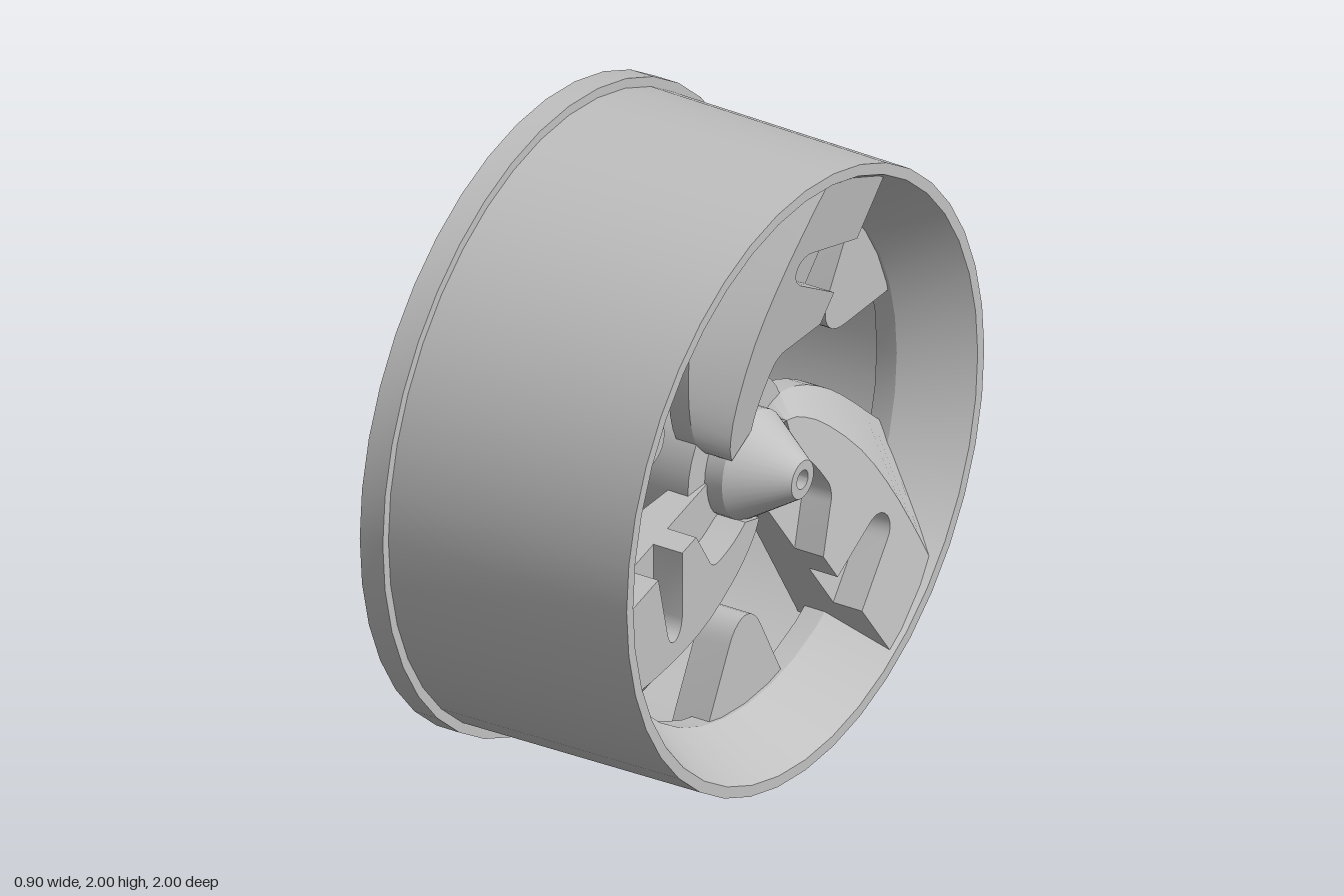
import * as THREE from 'three';
import { toCreasedNormals } from 'three/addons/utils/BufferGeometryUtils.js';

const metal = new THREE.MeshStandardMaterial({ color: 0xc0c0c0 });
metal.name = 'grey metal';

function part(name, geometry, crease = 0.4) {
  const mesh = new THREE.Mesh(toCreasedNormals(geometry, crease), metal);
  mesh.name = name;
  return mesh;
}

// Revolve [radius, depth] points about the axle (z while building)
function turned(name, points, segments) {
  const g = new THREE.LatheGeometry(points.map(p => new THREE.Vector2(...p)), segments);
  return part(name, g.rotateX(Math.PI / 2), 0.25);
}

// Spoke outline curves, [outward, sideways], sampled from hub to rim
const STEPS = 14;
const sample = points =>
  new THREE.SplineCurve(points.map(p => new THREE.Vector2(...p))).getPoints(STEPS).map(p => [p.x, p.y]);
const straightEdge = sample([[0.05, 0], [0.49, -0.01], [0.925, -0.02]]);
const ridge = sample([[0, -0.17], [0.04, -0.215], [0.15, -0.275], [0.35, -0.33], [0.55, -0.342], [0.75, -0.33], [0.875, -0.315]]);
const outerEdge = sample([[0, -0.19], [0.025, -0.27], [0.11, -0.355], [0.25, -0.438], [0.4, -0.497], [0.5, -0.53], [0.64, -0.58]]);
const faceDepth = u => 0.29 + 0.16 * u;
const floorDepth = u => faceDepth(u) - 0.1;
const BACK = 0.14, FLANK = 0.21;

// Spoke body: cross-sections lofted from hub to rim, with a sloping flank
function spokeBody() {
  const pos = [], idx = [], n = 6;
  straightEdge.forEach((a, i) => {
    const r = ridge[i], o = outerEdge[i];
    const section = [
      [a[0], a[1], BACK], [a[0], a[1], floorDepth(a[0])],
      [r[0], r[1] + 0.02, floorDepth(r[0])], [r[0], r[1], faceDepth(r[0])],
      [o[0], o[1], FLANK], [o[0], o[1], BACK],
    ];
    for (const [u, v, d] of section) pos.push(-u, v, d);
  });
  for (let i = 0; i < STEPS; i++) {
    for (let j = 0; j < n; j++) {
      const a = i * n + j, b = i * n + (j + 1) % n;
      idx.push(a, a + n, b + n, a, b + n, b);
    }
  }
  for (let j = 1; j < n - 1; j++) idx.push(0, j, j + 1);
  const g = new THREE.BufferGeometry();
  g.setAttribute('position', new THREE.Float32BufferAttribute(pos, 3));
  g.setIndex(idx);
  return part('spokeBody', g);
}

// Raised spoke face with a U slot and a scooped inner end, tilted towards the rim
function spokeFace() {
  const s = new THREE.Shape();
  s.moveTo(-0.45, -0.009);
  s.lineTo(-0.55, -0.011);
  s.lineTo(-0.55, -0.225);
  s.bezierCurveTo(-0.56, -0.295, -0.64, -0.295, -0.655, -0.225);
  s.lineTo(-0.72, -0.015);
  s.lineTo(-0.925, -0.02);
  for (const [u, v] of [...ridge].reverse()) s.lineTo(-u, v);
  s.lineTo(-0.1, -0.135);
  s.quadraticCurveTo(-0.18, -0.17, -0.3, -0.17);
  s.quadraticCurveTo(-0.34, -0.165, -0.36, -0.13);
  s.closePath();
  const g = new THREE.ExtrudeGeometry(s, { depth: 1, bevelEnabled: false, curveSegments: 8 });
  const p = g.attributes.position;
  for (let i = 0; i < p.count; i++) {
    const u = -p.getX(i);
    p.setZ(i, p.getZ(i) > 0.5 ? faceDepth(u) : floorDepth(u) - 0.005);
  }
  return part('spokeFace', g);
}

// Round-nosed lug reaching inward from the rim
function rimLug() {
  const s = new THREE.Shape();
  s.moveTo(-0.24, -0.87);
  s.lineTo(-0.19, -0.77);
  s.lineTo(-0.085, -0.575);
  s.bezierCurveTo(-0.04, -0.487, 0.04, -0.487, 0.085, -0.575);
  s.lineTo(0.19, -0.77);
  s.lineTo(0.24, -0.87);
  s.closePath();
  const g = new THREE.ExtrudeGeometry(s, { depth: 0.12, bevelEnabled: false, curveSegments: 10 });
  return part('rimLug', g.translate(0, 0, 0.12));
}

export function createModel() {
  const model = new THREE.Group();
  model.name = 'wheel';
  const wheel = new THREE.Group();
  wheel.name = 'wheelAssembly';

  // Barrel with back flange, inner shoulder and dished front lip
  wheel.add(turned('rim', [
    [0.885, -0.45], [1, -0.45], [1, -0.37], [0.97, -0.37], [0.96, 0.45], [0.925, 0.45],
    [0.8, 0.25], [0.8, 0.18], [0.85, 0.17], [0.85, -0.42], [0.885, -0.45],
  ], 40));

  // Hub tube with a bored back and a conical nose
  wheel.add(turned('hub', [
    [0, 0], [0.17, 0], [0.17, -0.35], [0.25, -0.35], [0.26, 0.21], [0.17, 0.21],
    [0.17, 0.27], [0.06, 0.44], [0.03, 0.44], [0.03, 0.4], [0, 0.4],
  ], 32));

  // Three swept spokes with a lug between each pair
  for (let i = 0; i < 3; i++) {
    const spoke = new THREE.Group();
    spoke.name = 'spoke' + (i + 1);
    spoke.add(spokeBody(), spokeFace());
    const lug = rimLug();
    spoke.rotation.z = lug.rotation.z = (-i * 2 * Math.PI) / 3;
    wheel.add(spoke, lug);
  }

  // Lay the axle along x and stand the wheel on the ground
  wheel.rotation.y = Math.PI / 2;
  wheel.position.y = 1;
  model.add(wheel);
  return model;
}
